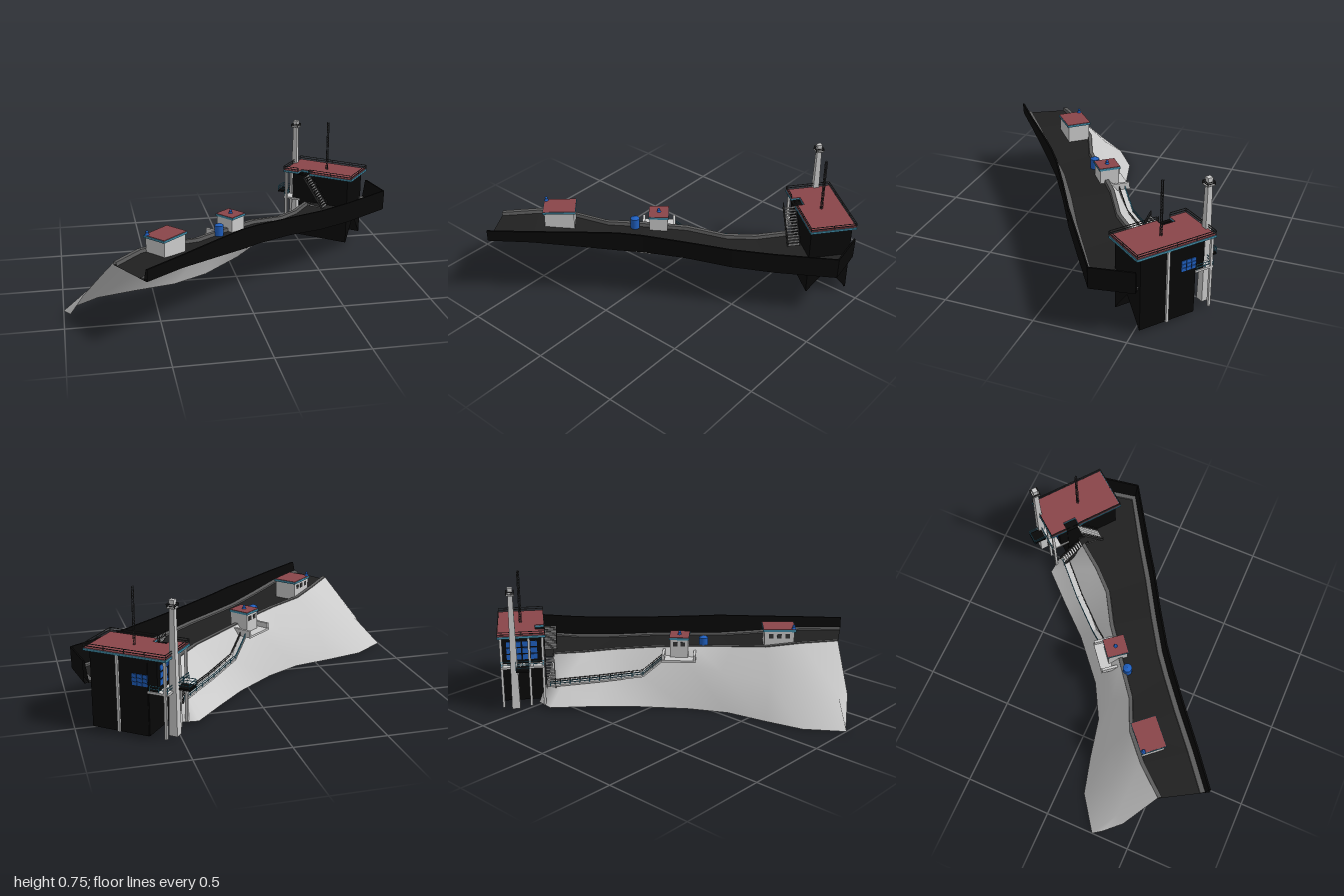
import * as THREE from 'three';

const mat = (color) => new THREE.MeshStandardMaterial({ color, side: THREE.DoubleSide });
const M = {
  grey: mat(0xcccccc), road: mat(0x202020), black: mat(0x080808), kerb: mat(0x5c5c5c),
  red: mat(0x8a454a), blue: mat(0x1f5fbf), trim: mat(0x3f8aa5), dark: mat(0x333333),
};
const V = (x, y, z) => new THREE.Vector3(x, y, z);

function add(parent, name, geo, material, x = 0, y = 0, z = 0) {
  const m = new THREE.Mesh(geo, material);
  m.name = name;
  m.position.set(x, y, z);
  parent.add(m);
  return m;
}
const box = (p, name, w, h, d, material, x, y, z) =>
  add(p, name, new THREE.BoxGeometry(w, h, d), material, x, y, z);

// Straight bar between two points
function beam(p, name, a, b, w, h, material) {
  const mid = a.clone().add(b).multiplyScalar(0.5);
  const m = box(p, name, w, h, a.distanceTo(b), material, mid.x, mid.y, mid.z);
  m.quaternion.setFromRotationMatrix(new THREE.Matrix4().lookAt(b, a, V(0, 1, 0)));
}

// Surface lofted through rows of points
function loft(p, name, rows, material, flat = true) {
  const n = rows[0].length, idx = [];
  for (let i = 0; i < rows.length - 1; i++)
    for (let j = 0; j < n - 1; j++) {
      const a = i * n + j;
      idx.push(a, a + 1, a + n, a + 1, a + n + 1, a + n);
    }
  let g = new THREE.BufferGeometry().setFromPoints(rows.flat());
  g.setIndex(idx);
  if (flat) g = g.toNonIndexed();
  g.computeVertexNormals();
  add(p, name, g, material);
}

// Railing that follows points at floor level
function railing(p, pts, height, material, step = 0.06) {
  const up = V(0, height, 0);
  for (let i = 0; i < pts.length - 1; i++) {
    const [a, b] = [pts[i], pts[i + 1]];
    for (const f of [0.5, 1])
      beam(p, 'rail', a.clone().addScaledVector(up, f), b.clone().addScaledVector(up, f), 0.003, 0.003, material);
    const n = Math.max(1, Math.round(a.distanceTo(b) / step));
    for (let k = 0; k <= n; k++) {
      const q = a.clone().lerp(b, k / n);
      box(p, 'railPost', 0.003, height, 0.003, material, q.x, q.y + height / 2, q.z);
    }
  }
}

function stairs(p, name, x0, y0, x1, y1, z, width, steps) {
  const g = new THREE.Group();
  g.name = name;
  p.add(g);
  const t = Math.abs(x1 - x0) / steps;
  for (let i = 0; i < steps; i++) {
    const f = (i + 0.5) / steps;
    box(g, 'step', t * 0.8, 0.006, width, M.grey, x0 + (x1 - x0) * f, y0 + (y1 - y0) * f, z);
  }
  for (const s of [-1, 1]) {
    const a = V(x0, y0, z + s * width / 2), b = V(x1, y1, z + s * width / 2);
    beam(g, 'stringer', a, b, 0.004, 0.012, M.dark);
    railing(g, [a, b], 0.03, M.dark, 0.05);
  }
}

// Flat-roofed hut with a window row on its valley side
function hut(p, name, x, z, base, top, w, d, turn, windows) {
  const g = new THREE.Group();
  g.name = name;
  g.position.set(x, 0, z);
  g.rotation.y = turn;
  p.add(g);
  box(g, 'hutWalls', w * 0.9, top - base, d * 0.9, M.grey, 0, (top + base) / 2, 0);
  box(g, 'roofTrim', w, 0.012, d, M.trim, 0, top - 0.003, 0);
  box(g, 'roof', w * 0.97, 0.004, d * 0.97, M.red, 0, top + 0.004, 0);
  for (let i = 0; i < windows; i++)
    box(g, 'window', 0.025, 0.025, 0.004, M.dark, ((i + 0.5) / windows - 0.5) * w * 0.75, top - 0.035, -d * 0.45);
  return g;
}

function vent(p, x, y, z) {
  add(p, 'vent', new THREE.CylinderGeometry(0.006, 0.014, 0.014, 10), M.blue, x, y + 0.007, z);
  add(p, 'ventCap', new THREE.SphereGeometry(0.008, 10, 6), M.blue, x, y + 0.018, z);
}

function createModel() {
  const root = new THREE.Group();
  root.name = 'hillsideStation';

  // Road sections: inner x, z, outer x, z, road height, wall top
  const S = [
    [-0.735, 0.56, -0.59, 0.805, 0.365, 0.43], [-0.60, 0.40, -0.40, 0.655, 0.36, 0.43],
    [-0.45, 0.27, -0.20, 0.49, 0.335, 0.43], [-0.27, 0.19, -0.03, 0.355, 0.315, 0.43],
    [-0.10, 0.06, 0.08, 0.275, 0.31, 0.42], [0.10, -0.09, 0.28, 0.15, 0.295, 0.40],
    [0.29, -0.20, 0.50, 0.02, 0.265, 0.38], [0.41, -0.32, 0.70, -0.11, 0.25, 0.37],
    [0.52, -0.46, 0.983, -0.29, 0.25, 0.37], [0.58, -0.53, 0.945, -0.52, 0.25, 0.37],
  ];
  // Points a given distance from the inner or outer edge, towards the road middle
  const across = (s) => V(s[2] - s[0], 0, s[3] - s[1]).normalize();
  const inner = (s, off, y) => V(s[0], y, s[1]).addScaledVector(across(s), off);
  const outer = (s, off, y) => V(s[2], y, s[3]).addScaledVector(across(s), -off);
  loft(root, 'road', S.map((s) => [inner(s, 0, s[4]), outer(s, 0.02, s[4])]), M.road);
  loft(root, 'wallFooting', S.map((s) => [outer(s, 0.055, s[4] + 0.002), outer(s, 0.053, s[4] + 0.01), outer(s, 0.026, s[4] + 0.012)]), M.kerb);
  loft(root, 'roadWall', S.map((s) => [outer(s, 0.027, s[4]), outer(s, 0.01, s[5]), outer(s, 0, s[5]), outer(s, 0.003, s[4]), outer(s, 0.027, s[4])]), M.black);
  loft(root, 'kerb', S.slice(0, 9).map((s) => [inner(s, 0, s[4]), inner(s, 0, s[4] + 0.02), inner(s, 0.022, s[4] + 0.02), inner(s, 0.025, s[4])]), M.kerb);

  // Hill slope: middle and foot of each section
  const crest = [S[0], ...S.slice(0, 9)].map((s) => inner(s, 0, s[4] + 0.015));
  crest.push(V(0.64, 0.25, -0.36));
  const mid = [[-0.9, 0.14, 0.43], [-0.87, 0.155, 0.38], [-0.73, 0.18, 0.28], [-0.54, 0.18, 0.19], [-0.28, 0.21, 0.09],
    [-0.13, 0.24, -0.02], [0.08, 0.165, -0.18], [0.25, 0.14, -0.34], [0.41, 0.115, -0.5], [0.49, 0.11, -0.53], [0.57, 0.13, -0.46]];
  const foot = [[-0.965, 0, 0.33], [-1, 0, 0.28], [-0.81, 0, 0.145], [-0.6, 0, 0.09], [-0.37, 0, 0.04], [-0.17, 0, -0.07],
    [0.06, 0.01, -0.27], [0.22, 0.02, -0.45], [0.38, 0.02, -0.62], [0.49, 0.02, -0.61], [0.5, 0.02, -0.55]];
  loft(root, 'hillSlope', mid.map((m, i) => [crest[i], V(...m), V(...foot[i])]), M.grey, false);

  // Huts and water barrel
  const big = hut(root, 'upperHut', -0.45, 0.383, 0.335, 0.445, 0.185, 0.145, 0.727, 3);
  vent(big, -0.08, 0.449, -0.057);
  const small = hut(root, 'middleHut', -0.035, 0.005, 0.27, 0.392, 0.115, 0.125, 0.68, 2);
  vent(small, 0, 0.394, 0);
  box(small, 'terrace', 0.19, 0.012, 0.13, M.grey, 0, 0.272, -0.045);
  for (const s of [-1, 1]) box(small, 'terraceWall', 0.015, 0.035, 0.12, M.grey, s * 0.088, 0.29, -0.045);
  add(root, 'barrel', new THREE.CylinderGeometry(0.026, 0.026, 0.06, 16), M.blue, -0.12, 0.342, 0.115);
  add(root, 'barrelTop', new THREE.ConeGeometry(0.026, 0.012, 16), M.blue, -0.12, 0.378, 0.115);

  // Footpath across the slope
  const path = [V(0.0, 0.265, -0.1), V(0.08, 0.17, -0.18), V(0.25, 0.145, -0.36), V(0.455, 0.115, -0.55)];
  for (let i = 0; i < 3; i++) beam(root, 'footpath', path[i], path[i + 1], 0.035, 0.01, M.grey);
  for (const s of [-1, 1])
    railing(root, path.map((q) => q.clone().add(V(s * 0.012, 0.004, s * 0.012))), 0.022, s < 0 ? M.trim : M.dark);

  // Station building, in its own turned frame
  const b = new THREE.Group();
  b.name = 'stationBuilding';
  b.position.set(0.68, 0, -0.565);
  b.rotation.y = -0.67;
  root.add(b);
  for (const s of [-1, 1]) box(b, 'longWall', 0.32, 0.41, 0.008, M.black, 0.04, 0.225, s * 0.114);
  box(b, 'innerWall', 0.008, 0.41, 0.228, M.black, -0.12, 0.225, 0);
  const end = new THREE.Shape([[-0.114, 0.02], [0, 0.16], [0.114, 0.02], [0.114, 0.43], [-0.114, 0.43]]
    .map((q) => new THREE.Vector2(...q)));
  add(b, 'endWall', new THREE.ShapeGeometry(end), M.black, 0.2).rotation.y = Math.PI / 2;

  // Roof with a stair opening, edge trim and railing
  const outline = [[-0.23, -0.133], [0.23, -0.133], [0.23, 0.133], [-0.05, 0.133], [-0.05, 0.08], [-0.13, 0.08], [-0.13, 0.133], [-0.23, 0.133]];
  const roof = new THREE.Shape(outline.map(([x, z]) => new THREE.Vector2(x, -z)));
  const slab = (depth) => new THREE.ExtrudeGeometry(roof, { depth, bevelEnabled: false }).rotateX(-Math.PI / 2);
  add(b, 'roofTrim', slab(0.012), M.trim, 0, 0.428, 0);
  add(b, 'roof', slab(0.004).scale(0.98, 1, 0.98), M.red, 0, 0.44, 0);
  box(b, 'stairOpening', 0.08, 0.004, 0.055, M.black, -0.09, 0.426, 0.107);
  railing(b, [[-0.05, 0.13], [0.227, 0.13], [0.227, -0.13], [-0.227, -0.13], [-0.227, 0.13], [-0.13, 0.13]]
    .map(([x, z]) => V(x, 0.442, z)), 0.024, M.dark, 0.12);

  // Glazed bay on columns
  box(b, 'bayFloor', 0.11, 0.012, 0.24, M.grey, -0.175, 0.255, 0);
  box(b, 'bayWalls', 0.05, 0.168, 0.228, M.black, -0.147, 0.345, 0);
  for (const [x, z] of [[-0.215, -0.115], [-0.215, 0.115], [-0.215, 0.04], [0.045, -0.122]])
    box(b, 'column', 0.014, 0.41, 0.014, M.grey, x, 0.225, z);
  for (let i = 0; i < 4; i++)
    for (let j = 0; j < 3; j++)
      box(b, 'pane', 0.004, 0.03, 0.036, M.blue, -0.173, 0.3 + j * 0.038, -0.068 + i * 0.045);
  for (let i = 0; i < 3; i++)
    for (let j = 0; j < 3; j++)
      box(b, 'sidePane', 0.026, 0.018, 0.004, M.blue, -0.108 + i * 0.03, 0.292 + j * 0.021, -0.12);
  railing(b, [V(-0.13, 0.261, -0.118), V(-0.228, 0.261, -0.118), V(-0.228, 0.261, 0.118)], 0.03, M.trim);
  box(b, 'balcony', 0.075, 0.01, 0.075, M.black, -0.272, 0.262, 0);
  railing(b, [V(-0.235, 0.267, -0.036), V(-0.307, 0.267, -0.036), V(-0.307, 0.267, 0.036), V(-0.235, 0.267, 0.036)], 0.03, M.trim);

  // Stairs from path to road and from road to roof
  stairs(b, 'lowerStairs', -0.19, 0.11, -0.02, 0.25, 0.155, 0.05, 12);
  stairs(b, 'roofStairs', 0.07, 0.25, -0.06, 0.435, 0.165, 0.07, 14);

  // Tapered square chimney with a gallery
  const shaft = new THREE.CylinderGeometry(0.018, 0.033, 0.69, 4).rotateY(Math.PI / 4).toNonIndexed();
  shaft.computeVertexNormals();
  add(b, 'chimney', shaft, M.grey, -0.229, 0.365, -0.047);
  box(b, 'chimneyCap', 0.028, 0.015, 0.028, M.grey, -0.229, 0.715, -0.047);
  box(b, 'galleryFloor', 0.046, 0.004, 0.046, M.grey, -0.229, 0.682, -0.047);
  railing(b, [[-1, -1], [1, -1], [1, 1], [-1, 1], [-1, -1]]
    .map(([x, z]) => V(-0.229 + x * 0.022, 0.684, -0.047 + z * 0.022)), 0.018, M.dark);

  // Lattice mast on the roof
  const mast = new THREE.Group();
  mast.name = 'mast';
  mast.position.set(0.69, 0.44, -0.56);
  root.add(mast);
  const c = [[-1, -1], [1, -1], [1, 1], [-1, 1]].map(([x, z]) => [x * 0.005, z * 0.005]);
  c.forEach(([x, z], i) => {
    const [x2, z2] = c[(i + 1) % 4];
    box(mast, 'mastLeg', 0.002, 0.31, 0.002, M.dark, x, 0.155, z);
    for (let k = 0; k < 20; k++)
      beam(mast, 'mastBrace', V(x, k * 0.0155, z), V(x2, (k + 1) * 0.0155, z2), 0.0015, 0.0015, M.dark);
  });
  return root;
}

export { createModel };
